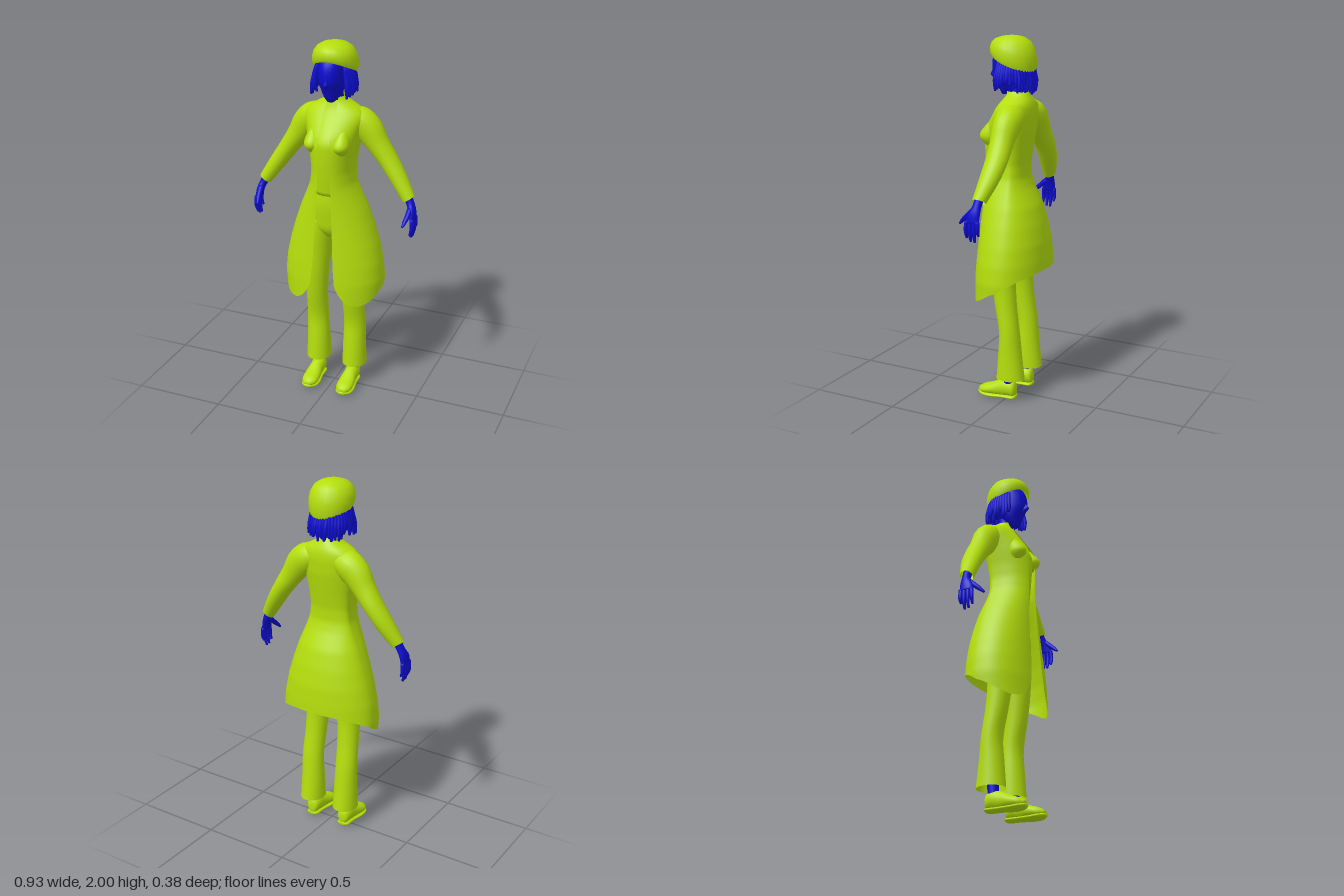
import * as THREE from 'three';

const cloth = new THREE.MeshStandardMaterial({ color: 0xb4de0c, side: THREE.DoubleSide });
const skin = new THREE.MeshStandardMaterial({ color: 0x0c0cd0, side: THREE.DoubleSide });
const Z = new THREE.Vector3(0, 0, 1), Y = new THREE.Vector3(0, 1, 0);

// Catmull-Rom through rows of numbers, t in 0..1
function sample(rows, t) {
  const n = rows.length - 1, f = Math.min(t, 1) * n, i = Math.min(Math.floor(f), n - 1), u = f - i;
  const p = (k) => rows[Math.max(0, Math.min(n, k))];
  return rows[0].map((_, c) => {
    const a = p(i - 1)[c], b = p(i)[c], d = p(i + 1)[c], e = p(i + 2)[c];
    return b + 0.5 * u * (d - a + u * (2 * a - 5 * b + 4 * d - e + u * (3 * (b - d) + e - a)));
  });
}

// Linear lookup in a table sorted by its first column (rising)
function lookup(table, key) {
  let i = 0;
  while (i < table.length - 2 && key > table[i + 1][0]) i++;
  const a = table[i], b = table[i + 1];
  const u = THREE.MathUtils.clamp((key - a[0]) / (b[0] - a[0]), 0, 1);
  return a.map((v, c) => v + (b[c] - v) * u);
}

// Surface from rings of points
function skinRings(rings, closed, capStart = false, capEnd = false) {
  const m = rings[0].length, pos = [], idx = [];
  rings.forEach((r) => r.forEach((p) => pos.push(p.x, p.y, p.z)));
  for (let i = 0; i < rings.length - 1; i++) {
    for (let j = 0; j < (closed ? m : m - 1); j++) {
      const a = i * m + j, b = i * m + (j + 1) % m;
      idx.push(a, b, b + m, a, b + m, a + m);
    }
  }
  const cap = (k, flip) => {
    const c = rings[k].reduce((s, p) => s.add(p), new THREE.Vector3()).divideScalar(m);
    const ci = pos.length / 3;
    pos.push(c.x, c.y, c.z);
    for (let j = 0; j < m; j++) {
      const a = k * m + j, b = k * m + (j + 1) % m;
      idx.push(ci, flip ? b : a, flip ? a : b);
    }
  };
  if (capStart) cap(0, true);
  if (capEnd) cap(rings.length - 1, false);
  const g = new THREE.BufferGeometry();
  g.setAttribute('position', new THREE.Float32BufferAttribute(pos, 3));
  g.setIndex(idx);
  g.computeVertexNormals();
  return g;
}

// Elliptical sweep: rows are [x, y, z, radius across, radius along B]
function sweep(rows, { n = 20, steps = 4, B = Z, capStart = true, capEnd = true } = {}) {
  const count = (rows.length - 1) * steps, rings = [];
  const at = (i) => sample(rows, Math.max(0, Math.min(count, i)) / count);
  for (let i = 0; i <= count; i++) {
    const [x, y, z, a, b] = at(i);
    const T = new THREE.Vector3(...at(i + 1).slice(0, 3)).sub(new THREE.Vector3(...at(i - 1).slice(0, 3)));
    const U = new THREE.Vector3().crossVectors(B, T).normalize();
    rings.push(Array.from({ length: n }, (_, j) => {
      const th = j / n * Math.PI * 2;
      return new THREE.Vector3(x, y, z).addScaledVector(U, a * Math.cos(th)).addScaledVector(B, b * Math.sin(th));
    }));
  }
  return skinRings(rings, true, capStart, capEnd);
}

// Coat sections: y, half width, front z, back z, half opening
const coatTable = [
  [0.55, 0.27, 0.197, -0.19, 0.085], [0.7, 0.282, 0.192, -0.192, 0.07], [0.8, 0.272, 0.185, -0.19, 0.06],
  [0.9, 0.25, 0.178, -0.183, 0.055], [1.0, 0.22, 0.172, -0.165, 0.05], [1.1, 0.185, 0.168, -0.138, 0.045],
  [1.2, 0.143, 0.166, -0.09, 0.04], [1.25, 0.124, 0.166, -0.075, 0.037], [1.32, 0.116, 0.166, -0.075, 0.034],
  [1.4, 0.124, 0.168, -0.088, 0.034], [1.47, 0.138, 0.168, -0.1, 0.034], [1.52, 0.148, 0.15, -0.108, 0.034],
  [1.6, 0.17, 0.095, -0.112, 0.034], [1.64, 0.155, 0.07, -0.108, 0.034], [1.67, 0.1, 0.05, -0.097, 0.032],
  [1.69, 0.062, 0.04, -0.085, 0.03], [1.71, 0.05, 0.04, -0.075, 0.028],
];
// Hem height from front edge (0) to middle of back (1)
const hemTable = [[0, 0.69], [0.03, 0.635], [0.07, 0.6], [0.12, 0.582], [0.2, 0.58], [0.3, 0.605],
  [0.42, 0.65], [0.55, 0.695], [0.7, 0.73], [0.85, 0.75], [1, 0.755]];

function coatGeometry() {
  const rows = 56, cols = 96, rings = [];
  for (let i = 0; i <= rows; i++) {
    rings.push(Array.from({ length: cols + 1 }, (_, j) => {
      const side = j / cols * 2 - 1, q = 1 - Math.abs(side);
      const y = THREE.MathUtils.lerp(lookup(hemTable, q)[1], 1.71, i / rows);
      const [, w, zf, zb, gap] = lookup(coatTable, y);
      const start = Math.asin(gap / w), th = start + q * (Math.PI - start);
      const c = Math.cos(th), cz = -0.02;
      return new THREE.Vector3(Math.sign(side || 1) * w * Math.sin(th), y,
        cz + (c > 0 ? (zf - cz) * Math.pow(c, 0.85) : (cz - zb) * c));
    }));
  }
  return skinRings(rings, false);
}

// Cap dome with a rim that rises to the front
function capGeometry() {
  const profile = [[0.112, 0], [0.12, 0.15], [0.12, 0.4], [0.112, 0.62], [0.092, 0.82], [0.06, 0.94], [0.025, 0.99], [0.001, 1]];
  return skinRings(profile.map(([r, f]) => Array.from({ length: 20 }, (_, j) => {
    const th = -j / 20 * Math.PI * 2, c = Math.cos(th);
    const rim = 1.853 + 0.045 * c + 0.012 * Math.max(0, c) ** 3;
    return new THREE.Vector3(0.005 + r * Math.sin(th) * 0.99, THREE.MathUtils.lerp(rim, 2, f), 0.006 + r * c * 1.04);
  })), true);
}

export function createModel() {
  const model = new THREE.Group();
  const add = (name, geo, mat, parent = model) => {
    const m = new THREE.Mesh(geo, mat);
    m.name = name;
    parent.add(m);
    return m;
  };

  add('coat', coatGeometry(), cloth);
  add('shirt', sweep([[0, 1.19, 0.02, 0.112, 0.105], [0, 1.3, 0.035, 0.1, 0.105], [0, 1.42, 0.035, 0.105, 0.115],
    [0, 1.49, 0.03, 0.115, 0.115], [0, 1.57, 0, 0.12, 0.095], [0, 1.64, -0.02, 0.1, 0.07], [0, 1.69, -0.02, 0.048, 0.052]],
  { n: 32 }), cloth);
  add('hips', sweep([[0, 0.93, -0.005, 0.09, 0.07], [0, 0.98, 0, 0.155, 0.1], [0, 1.05, 0, 0.155, 0.112],
    [0, 1.13, 0.015, 0.135, 0.105], [0, 1.21, 0.025, 0.108, 0.092]], { n: 32 }), cloth);

  // Head, nose and neck
  add('neck', sweep([[0, 1.6, -0.025, 0.055, 0.05], [0, 1.68, -0.015, 0.042, 0.042], [0, 1.78, 0.005, 0.045, 0.05]]), skin);
  add('head', sweep([[0, 1.69, 0.055, 0.018, 0.018], [0, 1.71, 0.045, 0.038, 0.038], [0, 1.75, 0.03, 0.058, 0.07],
    [0, 1.8, 0.02, 0.07, 0.105], [0, 1.86, 0.015, 0.077, 0.112], [0, 1.91, 0.01, 0.075, 0.1], [0, 1.95, 0.01, 0.05, 0.06]],
  { n: 24 }), skin);
  add('nose', sweep([[0, 1.77, 0.11, 0.011, 0.01], [0, 1.79, 0.118, 0.014, 0.026], [0, 1.815, 0.116, 0.008, 0.017],
    [0, 1.85, 0.115, 0.006, 0.01]], { n: 10 }), skin);

  // Hair cap with two layers of hanging locks
  add('hairCap', new THREE.SphereGeometry(1, 20, 14), skin).position.set(0, 1.86, -0.02);
  model.getObjectByName('hairCap').scale.set(0.096, 0.08, 0.092);
  const hair = new THREE.Group();
  hair.name = 'hairLocks';
  model.add(hair);
  let seed = 7;
  const rnd = () => (seed = (seed * 16807) % 2147483647) / 2147483647;
  for (const [count, r, from] of [[31, 0.1, 0.95], [25, 0.082, 1.2]]) {
    for (let i = 0; i < count; i++) {
      const th = from + (i / (count - 1)) * (Math.PI * 2 - 2 * from);
      const s = Math.sin(th), c = Math.cos(th), end = 1.715 + rnd() * 0.045 - (c < -0.4 ? 0.02 : 0);
      const out = r + 0.006 + rnd() * 0.012;
      add('lock', sweep([[s * r * 0.9, 1.88, c * r * 0.95, 0.009, 0.009], [s * (r + 0.006), 1.82, c * r, 0.013, 0.013],
        [s * out, 1.77, c * out, 0.012, 0.012], [s * out + (rnd() - 0.5) * 0.015, end, c * out, 0.006, 0.006]],
      { n: 7, steps: 2 }), skin, hair);
    }
  }
  add('cap', capGeometry(), cloth);

  // Paired limbs
  for (const s of [-1, 1]) {
    const side = s > 0 ? 'left' : 'right';
    const limb = (name, rows, mat, opt) =>
      add(side + name, sweep(rows.map(([x, ...rest]) => [s * x, ...rest]), opt), mat);

    limb('Sleeve', [[0.07, 1.595, -0.03, 0.06, 0.07], [0.125, 1.575, -0.035, 0.08, 0.076], [0.175, 1.535, -0.038, 0.078, 0.07],
      [0.225, 1.465, -0.04, 0.062, 0.062], [0.283, 1.385, -0.042, 0.052, 0.06], [0.345, 1.295, -0.032, 0.046, 0.053],
      [0.415, 1.19, -0.01, 0.036, 0.036]], cloth, { capEnd: false });
    limb('Bust', [[0.08, 1.425, 0.1, 0.02, 0.03], [0.08, 1.46, 0.11, 0.042, 0.052], [0.08, 1.495, 0.105, 0.042, 0.052],
      [0.08, 1.55, 0.07, 0.025, 0.04]], cloth);
    limb('TrouserLeg', [[0.11, 0.13, -0.03, 0.069, 0.08], [0.11, 0.27, -0.027, 0.065, 0.066], [0.112, 0.4, -0.024, 0.062, 0.056],
      [0.107, 0.55, 0, 0.061, 0.06], [0.1, 0.7, 0.015, 0.066, 0.067], [0.092, 0.85, 0.01, 0.076, 0.083],
      [0.08, 0.96, 0.003, 0.077, 0.097], [0.075, 1.03, 0, 0.07, 0.1]], cloth, { n: 24, capStart: false });
    limb('Ankle', [[0.108, 0.07, -0.015, 0.028, 0.032], [0.11, 0.13, -0.018, 0.027, 0.03], [0.11, 0.3, -0.025, 0.036, 0.04]], skin);

    // Shoe upper and sole, heel to toe
    limb('Shoe', [[0.105, 0.055, -0.06, 0.012, 0.02], [0.105, 0.062, -0.05, 0.032, 0.042], [0.105, 0.068, -0.015, 0.04, 0.05],
      [0.105, 0.06, 0.03, 0.04, 0.048], [0.105, 0.047, 0.085, 0.046, 0.034], [0.105, 0.037, 0.135, 0.043, 0.026],
      [0.105, 0.033, 0.165, 0.018, 0.012]], cloth, { B: Y });
    limb('Sole', [[0.105, 0.02, -0.062, 0.018, 0.008], [0.105, 0.018, -0.045, 0.036, 0.012], [0.105, 0.016, 0.02, 0.038, 0.012],
      [0.105, 0.013, 0.09, 0.049, 0.013], [0.105, 0.016, 0.14, 0.044, 0.013], [0.105, 0.021, 0.17, 0.018, 0.008]],
    cloth, { B: Y });

    // Hand with four fingers and a thumb
    limb('Palm', [[0.405, 1.21, -0.01, 0.024, 0.024], [0.425, 1.17, -0.005, 0.021, 0.024], [0.441, 1.13, 0.006, 0.019, 0.035],
      [0.449, 1.085, 0.012, 0.014, 0.04]], skin);
    [0.046, 0.023, 0, -0.022].forEach((z, i) => {
      const tip = [1.005, 0.988, 0.985, 1.02][i];
      limb('Finger', [[0.45, 1.095, z * 0.9, 0.012, 0.012], [0.453, 1.06, z, 0.011, 0.011],
        [0.451, (1.06 + tip) / 2, z, 0.01, 0.01], [0.442, tip, z, 0.006, 0.006]], skin, { n: 9, steps: 3 });
    });
    limb('Thumb', [[0.432, 1.145, 0.02, 0.014, 0.014], [0.43, 1.115, 0.052, 0.014, 0.014], [0.424, 1.09, 0.08, 0.011, 0.011],
      [0.418, 1.07, 0.1, 0.006, 0.006]], skin, { n: 9, steps: 3, B: new THREE.Vector3(0, 0.7, 0.7) });
  }
  return model;
}
